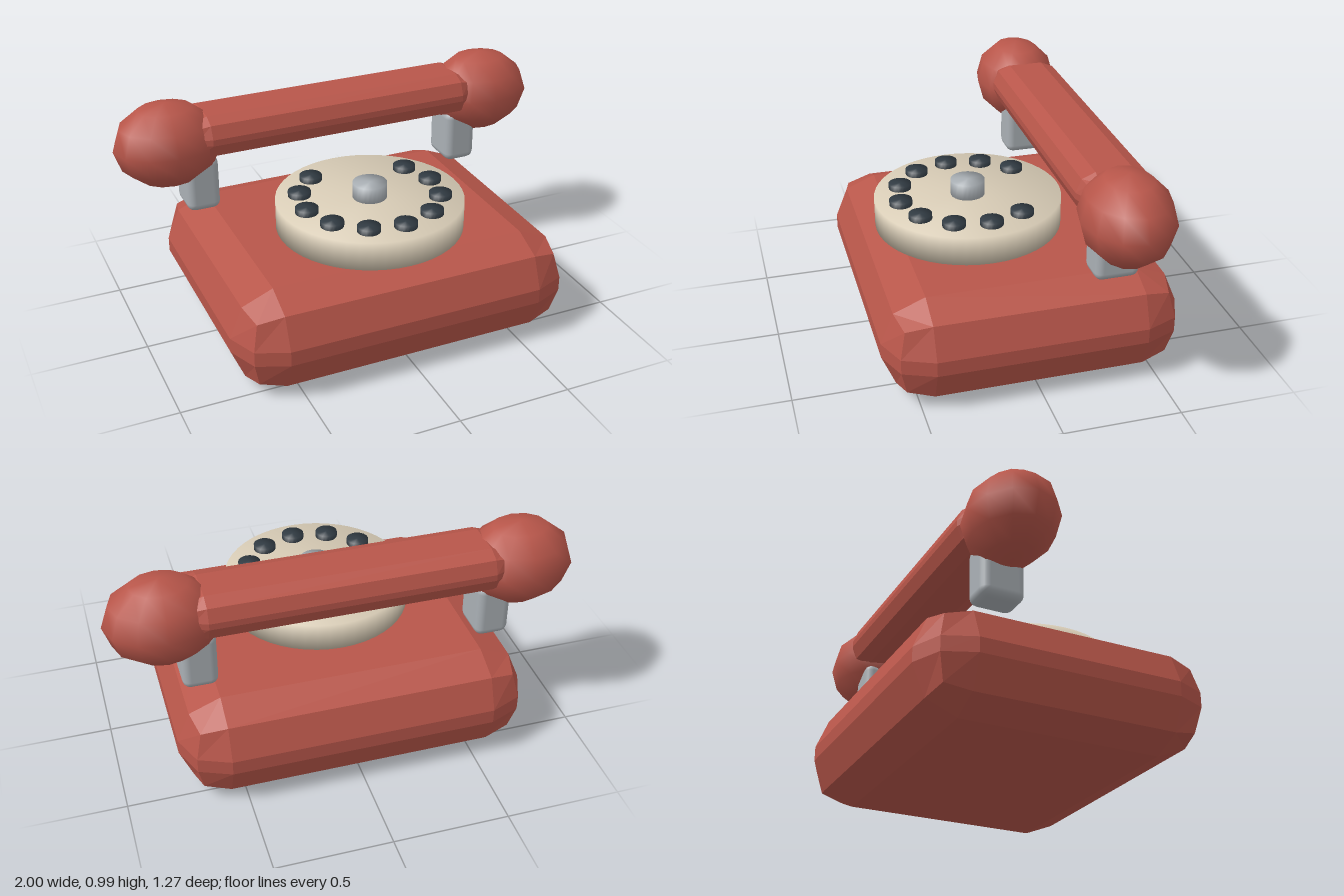
import * as THREE from 'three';
import { mergeVertices } from 'three/addons/utils/BufferGeometryUtils.js';
import { RoundedBoxGeometry } from 'three/addons/geometries/RoundedBoxGeometry.js';

const material = (name, color, flatShading = false) => {
  const m = new THREE.MeshStandardMaterial({ color, flatShading });
  m.name = name;
  return m;
};

// Cylinder whose normals run softly over the rim
function softCylinder(radius, height, sides) {
  const g = new THREE.CylinderGeometry(radius, radius, height, sides);
  g.deleteAttribute('normal');
  g.deleteAttribute('uv');
  const merged = mergeVertices(g);
  merged.computeVertexNormals();
  return merged;
}

export function createModel() {
  const red = material('red shell', 0xb8564a);
  const redFlat = red.clone();
  redFlat.flatShading = true;
  const cream = material('cream dial', 0xd8ccb6);
  const dark = material('dark finger holes', 0x323c44);
  const metal = material('grey metal', 0xaab0b5);

  const model = new THREE.Group();
  model.name = 'telephone';
  const add = (name, geometry, mat, x, y, z, parent = model) => {
    const mesh = new THREE.Mesh(geometry, mat);
    mesh.name = name;
    mesh.position.set(x, y, z);
    parent.add(mesh);
    return mesh;
  };

  // Body with broad bevelled edges
  add('body', new RoundedBoxGeometry(1.52, 0.445, 1.27, 1, 0.19), redFlat, 0, 0.2225, 0);

  // Rotary dial with its finger holes and centre knob
  const dial = new THREE.Group();
  dial.name = 'dial';
  dial.position.set(0, 0, 0.125);
  model.add(dial);
  add('dialDisc', softCylinder(0.41, 0.127, 48), cream, 0, 0.5225, 0, dial);
  add('dialKnob', softCylinder(0.075, 0.075, 24), metal, 0, 0.6175, 0, dial);
  const hole = softCylinder(0.05, 0.04, 20);
  for (let i = 0; i < 10; i++) {
    const a = THREE.MathUtils.degToRad(-35 + 30 * i);
    add('fingerHole', hole, dark, 0.305 * Math.cos(a), 0.59, 0.305 * Math.sin(a), dial);
  }

  // Handset: bevelled grip with a faceted-outline cup at each end
  const handset = new THREE.Group();
  handset.name = 'handset';
  model.add(handset);
  add('grip', new RoundedBoxGeometry(1.36, 0.188, 0.315, 1, 0.08), redFlat, 0, 0.828, -0.317, handset);
  const cup = new THREE.SphereGeometry(0.19, 12, 6).scale(1.26, 1, 1);
  const post = new RoundedBoxGeometry(0.15, 0.25, 0.19, 2, 0.035);
  for (const side of [1, -1]) {
    const label = side > 0 ? 'left' : 'right';
    add(label + 'Cup', cup, red, side * 0.76, 0.795, -0.315, handset);
    // Cradle post under the cup
    add(label + 'CradlePost', post, metal, side * 0.635, 0.605, -0.315);
  }
  return model;
}
